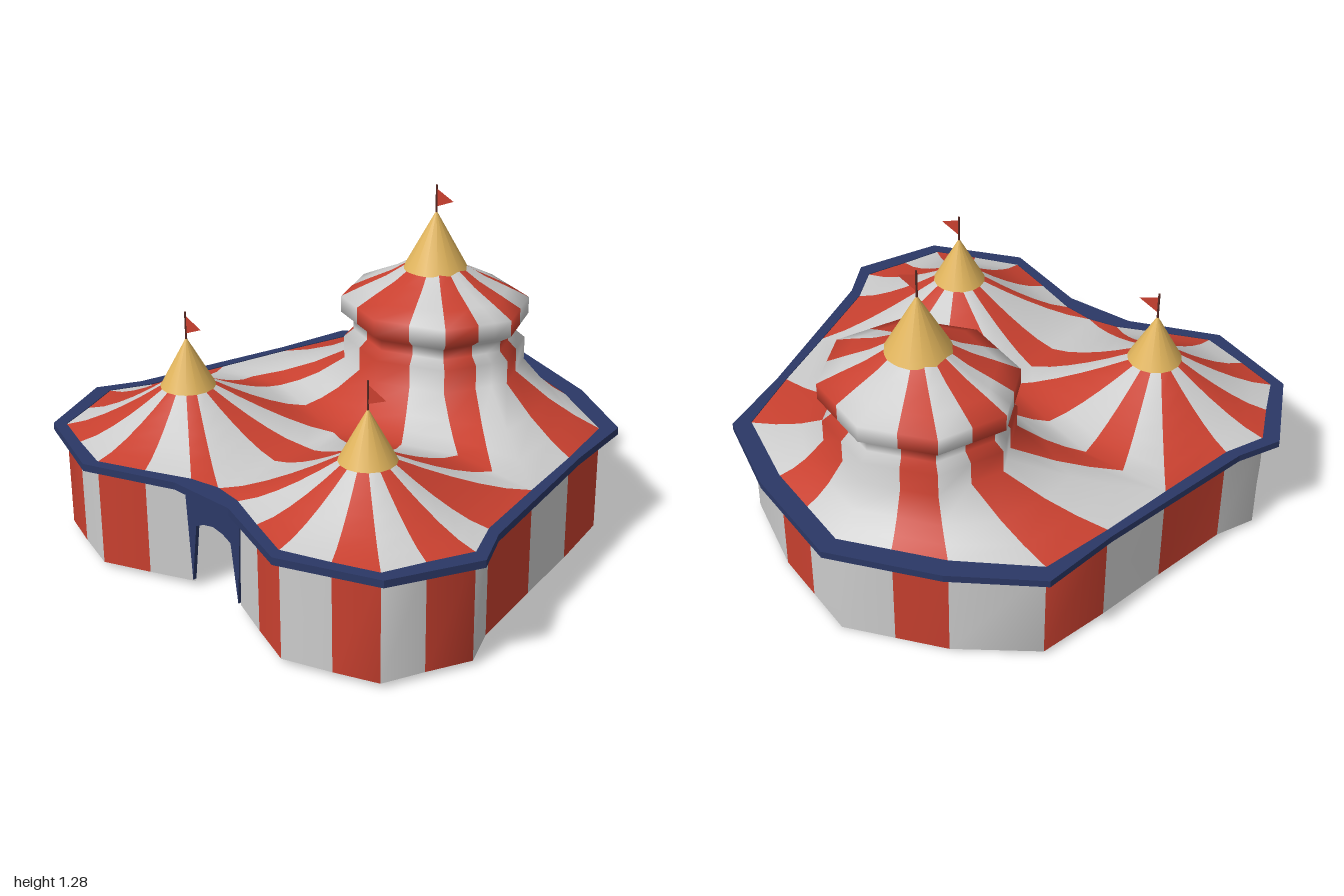
import * as THREE from 'three';

const RED = 0xc8402f, WHITE = 0xcccccc, BLUE = 0x2b3866, GOLD = 0xe0b45c;
const mat = (color, side = THREE.DoubleSide) => new THREE.MeshStandardMaterial({ color, side, roughness: 0.9 });

// Cloth: welded quads in two stripe colours, each quad also mirrored across x = 0
function makeCloth() {
  const pos = [], index = [[], []], seen = new Map();
  const vertex = ([x, y, z]) => {
    const key = [x, y, z].map(v => Math.round(v * 1e4)).join();
    if (!seen.has(key)) {
      seen.set(key, pos.length / 3);
      pos.push(x, y, z);
    }
    return seen.get(key);
  };
  return {
    quad(isRed, ...corners) {
      for (const s of [1, -1]) {
        const c = corners.map(([x, y, z]) => vertex([x * s, y, z]));
        if (s < 0) c.reverse();
        index[isRed ? 0 : 1].push(c[0], c[1], c[2], c[0], c[2], c[3]);
      }
    },
    mesh(name) {
      const g = new THREE.BufferGeometry();
      g.setAttribute('position', new THREE.Float32BufferAttribute(pos, 3));
      g.setIndex([...index[0], ...index[1]]);
      g.addGroup(0, index[0].length, 0);
      g.addGroup(index[0].length, index[1].length, 1);
      g.computeVertexNormals();
      const m = new THREE.Mesh(g, [mat(RED), mat(WHITE)]);
      m.name = name;
      return m;
    },
  };
}

// Left half of the wall line, from the entrance to the back: [x, z]
const WALL = [[0.12, 0.76], [0.29, 0.83], [0.47, 0.9], [0.65, 0.84], [0.81, 0.78], [0.87, 0.63], [0.94, 0.47],
  [0.87, 0.32], [0.8, 0], [0.74, -0.29], [0.67, -0.57], [0.38, -0.74], [0.19, -0.81], [0, -0.88]];
// Valley between front turret and tower, from the side to the middle: [x, z, y]
const VALLEY = [[0.62, 0, 0.44], [0.46, 0, 0.45], [0.25, 0.07, 0.45], [0, 0.17, 0.45]];
const EAVES = 0.43;
const edgePoint = ([x, z, y = EAVES]) => [x, y, z];

const TURRET = { x: 0.46, z: 0.47, r: 0.1, y: 0.6 };
const TOWER = { z: -0.39, rx: 0.375, rz: 0.345 };

// Joins neighbouring columns of points with striped quads
function loft(cloth, columns, isRed) {
  for (let i = 0; i < columns.length - 1; i++) {
    const a = columns[i], b = columns[i + 1];
    for (let j = 0; j < a.length - 1; j++) cloth.quad(isRed(i), a[j + 1], b[j + 1], b[j], a[j]);
  }
}

// Front turret roof: sixteen stripes sagging from the cap to the eaves and valley
function addTurretRoof(cloth) {
  const edge = [[0, 0.47, 0.44], [0, 0.74], ...WALL.slice(0, 9), ...VALLEY, [0, 0.32, 0.445], [0, 0.47, 0.44]];
  const columns = edge.map((p, k) => {
    const a = Math.PI + k * Math.PI / 8;
    const inner = [TURRET.x + Math.cos(a) * TURRET.r, TURRET.y, TURRET.z - Math.sin(a) * TURRET.r];
    const [ox, oy, oz] = edgePoint(p);
    return [0, 0.2, 0.4, 0.6, 0.8, 1].map(t => [
      inner[0] + (ox - inner[0]) * t,
      oy + (inner[1] - oy) * Math.pow(1 - t, 1.4),
      inner[2] + (oz - inner[2]) * t,
    ]);
  });
  loft(cloth, columns, i => i % 2 === 1);
}

// Octagonal tower: stacked rings, then a skirt that flares out to the valley and eaves
function addTowerRoof(cloth) {
  const rings = [[0.32, 0.965], [0.52, 0.92], [0.78, 0.875], [1, 0.835], [1, 0.77], [0.87, 0.74], [0.87, 0.7],
    [0.97, 0.67], [0.97, 0.58]];
  const edge = [...VALLEY].reverse().concat(WALL.slice(8));
  const steps = [0, 1, 2, 3, 3.5, 4, 5, 6, 7, 8];
  const corner = n => [Math.sin(n * Math.PI / 4) * TOWER.rx, Math.cos(n * Math.PI / 4) * TOWER.rz];
  const columns = steps.map((k, i) => {
    const n = Math.floor(k / 2), f = k / 2 - n, p = corner(n), q = corner(n + 1);
    const x = p[0] + (q[0] - p[0]) * f, z = p[1] + (q[1] - p[1]) * f;
    const column = rings.map(([r, y]) => [x * r, y, TOWER.z + z * r]);
    const [sx, sy, sz] = column[column.length - 1], [ex, ey, ez] = edgePoint(edge[i]);
    for (const [t, drop] of [[0.4, 0.52], [0.7, 0.8], [1, 1]])
      column.push([sx + (ex - sx) * t, sy + (ey - sy) * drop, sz + (ez - sz) * t]);
    return column;
  });
  loft(cloth, columns, i => Math.floor(steps[i]) % 2 === 0);
}

// Striped wall, slightly longer at the back
function addWall(cloth) {
  const columns = WALL.map(([x, z]) => [[x, 0.42, z], [x, z < -0.7 ? 0 : 0.02, z]]);
  loft(cloth, columns, i => i % 2 === 1);
}

// Closed outline from a left half that runs front to back
function outline(half) {
  const right = half.filter(p => p[0] > 0).reverse().map(([x, z]) => [-x, z]);
  return [...half, ...right].map(([x, z]) => new THREE.Vector2(x, -z));
}

// Blue band around the eaves
function makeRim() {
  const shape = new THREE.Shape(outline([[0, 0.82], [0.14, 0.82], [0.49, 0.95], [0.85, 0.81], [1, 0.49],
    [0.92, 0.33], [0.77, -0.31], [0.72, -0.62], [0.41, -0.81], [0, -0.96]]));
  shape.holes.push(new THREE.Path(outline([[0, 0.74], ...WALL])));
  const g = new THREE.ExtrudeGeometry(shape, { depth: 0.028, bevelEnabled: false });
  g.rotateX(-Math.PI / 2).translate(0, 0.405, 0);
  const m = new THREE.Mesh(g, mat(BLUE));
  m.name = 'eavesBand';
  return m;
}

// Parted curtain in the entrance
function makeCurtain() {
  const shape = new THREE.Shape([[-0.145, 0.42], [-0.12, 0.03], [-0.09, 0.26], [-0.05, 0.28], [0, 0.29],
    [0.05, 0.28], [0.09, 0.26], [0.12, 0.03], [0.145, 0.42]].map(p => new THREE.Vector2(...p)));
  const g = new THREE.ExtrudeGeometry(shape, { depth: 0.015, bevelEnabled: false });
  const m = new THREE.Mesh(g.translate(0, 0, 0.757), mat(BLUE));
  m.name = 'entranceCurtain';
  return m;
}

// Gold cap with a pole and pennant
function makeFinial(name, x, y, z, radius, height) {
  const group = new THREE.Group();
  group.name = name;
  group.position.set(x, y, z);
  const add = (part, g, color, py) => {
    const m = new THREE.Mesh(g, mat(color));
    m.name = part;
    m.position.y = py;
    group.add(m);
  };
  add('cap', new THREE.ConeGeometry(radius, height, 16), GOLD, height / 2);
  add('pole', new THREE.CylinderGeometry(0.004, 0.004, 0.12, 6), 0x5a2a24, height + 0.04);
  const pennant = new THREE.Shape([[0, 0.035], [0, -0.035], [0.083, 0]].map(p => new THREE.Vector2(...p)));
  add('pennant', new THREE.ShapeGeometry(pennant), RED, height + 0.05);
  return group;
}

export function createModel() {
  const model = new THREE.Group();
  model.name = 'stripedTent';

  const roof = makeCloth();
  addTurretRoof(roof);
  addTowerRoof(roof);
  const wall = makeCloth();
  addWall(wall);

  model.add(roof.mesh('roof'), wall.mesh('wall'), makeRim(), makeCurtain());
  model.add(makeFinial('towerFinial', 0, 0.955, TOWER.z, 0.124, 0.225));
  for (const [name, s] of [['leftTurretFinial', 1], ['rightTurretFinial', -1]])
    model.add(makeFinial(name, s * TURRET.x, 0.6, TURRET.z, 0.104, 0.19));
  return model;
}
